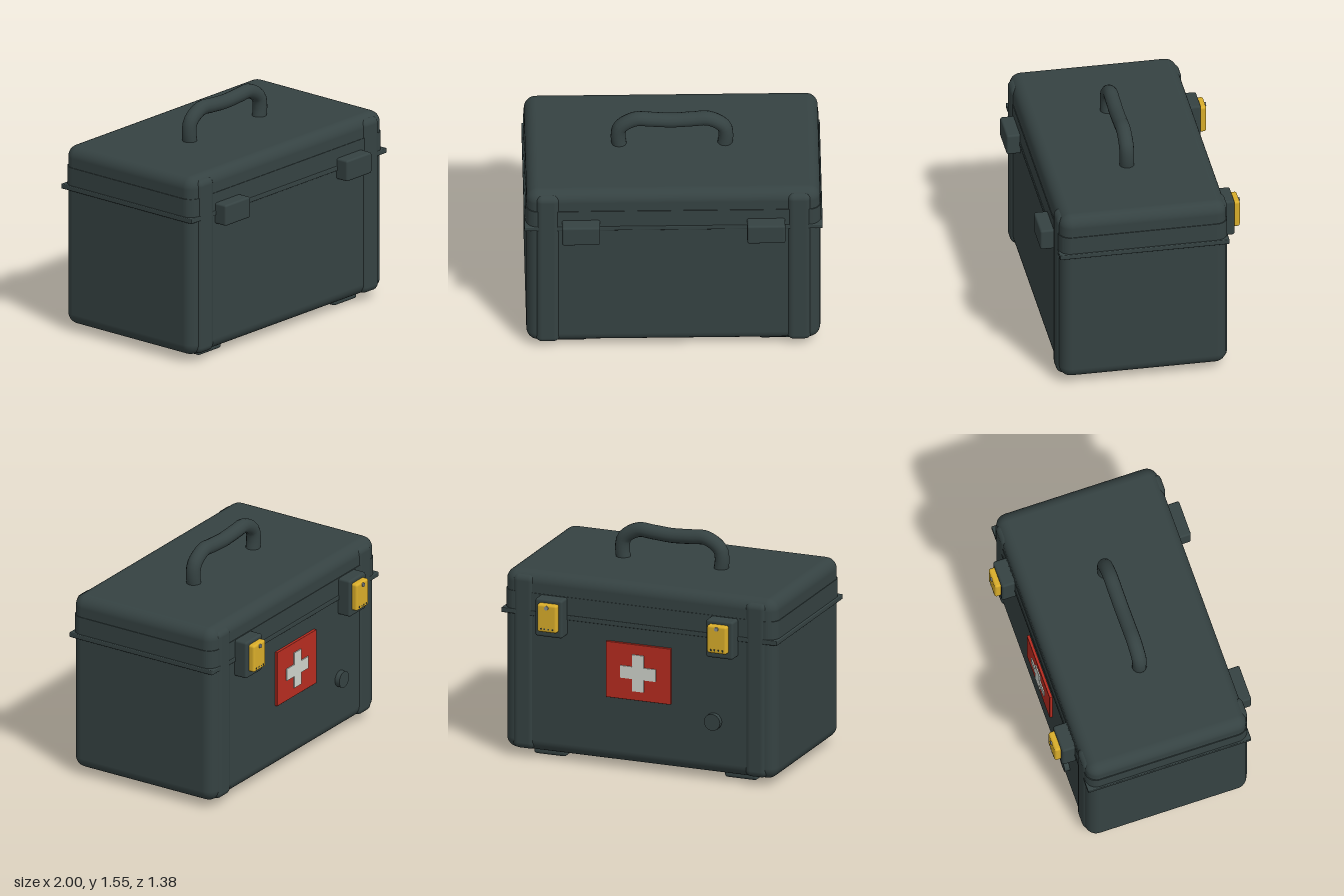
import * as THREE from 'three';
import { RoundedBoxGeometry } from 'three/addons/geometries/RoundedBoxGeometry.js';

const material = (name, color) => {
  const m = new THREE.MeshStandardMaterial({ color });
  m.name = name;
  return m;
};

export function createModel() {
  const shell = material('dark grey green plastic', 0x354242);
  const yellow = material('latch yellow', 0xd9ad2a);
  const red = material('badge red', 0xb82c20);
  const white = material('cross pale grey', 0xd0d4cc);
  const steel = material('screw steel', 0x8a8f92);
  const model = new THREE.Group();
  model.name = 'firstAidCase';

  const add = (name, geometry, mat) => {
    const mesh = new THREE.Mesh(geometry, mat);
    mesh.name = name;
    model.add(mesh);
    return mesh;
  };
  // Rounded box given by its limits on each axis
  const block = (name, [x0, x1], [y0, y1], [z0, z1], radius, mat = shell, segments = 3) => {
    const mesh = add(name, new RoundedBoxGeometry(x1 - x0, y1 - y0, z1 - z0, segments, radius), mat);
    mesh.position.set((x0 + x1) / 2, (y0 + y1) / 2, (z0 + z1) / 2);
    return mesh;
  };
  // Disc facing the back
  const disc = (name, radius, depth, x, y, z, mat) => {
    const mesh = add(name, new THREE.CylinderGeometry(radius, radius, depth, 20), mat);
    mesh.rotation.x = Math.PI / 2;
    mesh.position.set(x, y, z);
  };

  // Case shell
  block('caseBody', [-0.985, 0.985], [0.045, 1.305], [-0.545, 0.595], 0.08, shell, 4);

  // Raised lip round the bottom of the lid
  const w = 0.99, d = 0.574, r = 0.08;
  const outline = new THREE.Shape();
  outline.absarc(w - r, d - r, r, 0, Math.PI / 2);
  outline.absarc(r - w, d - r, r, Math.PI / 2, Math.PI);
  outline.absarc(r - w, r - d, r, Math.PI, Math.PI * 1.5);
  outline.absarc(w - r, r - d, r, Math.PI * 1.5, Math.PI * 2);
  const lip = add('lidLip', new THREE.ExtrudeGeometry(outline, { depth: 0.14, bevelEnabled: false, curveSegments: 5 }), shell);
  lip.rotation.x = -Math.PI / 2;
  lip.position.set(0, 1.02, 0.025);

  // Square seam flange between lid and base
  block('seamFlange', [-1, 1], [1.0, 1.034], [-0.553, 0.603], 0.006);

  for (const s of [-1, 1]) {
    const span = (a, b) => (s > 0 ? [a, b] : [-b, -a]);
    // Vertical reinforcing bands
    block('cornerBand', span(0.76, 0.925), [0.055, 1.28], [-0.555, 0.61], 0.045);

    // Hinges on the front
    block('hinge', span(0.493, 0.748), [0.94, 1.087], [0.58, 0.69], 0.014);

    // Latches on the back
    block('latchBase', span(0.522, 0.718), [0.892, 1.157], [-0.64, -0.53], 0.016);
    block('latchLever', span(0.545, 0.688), [0.937, 1.132], [-0.682, -0.62], 0.016, yellow);
    disc('latchScrew', 0.014, 0.012, s * 0.617, 1.11, -0.684, steel);
    for (let i = 0; i < 4; i++) {
      const x = s * 0.617 - 0.042 + i * 0.028;
      block('leverNotch', [x - 0.005, x + 0.005], [0.955, 0.966], [-0.684, -0.678], 0.001, shell, 1);
    }

    // Feet
    for (const z of [0.413, -0.352])
      block('foot', span(0.575, 0.81), [0, 0.08], [z - 0.093, z + 0.093], 0.02);
  }

  // Carrying handle
  const half = [[0.35, 1.27], [0.362, 1.37], [0.345, 1.44], [0.245, 1.502], [0.14, 1.498]];
  const path = [
    ...half.map(([x, y]) => new THREE.Vector3(-x, y, 0.03)),
    new THREE.Vector3(0, 1.49, 0.03),
    ...half.slice().reverse().map(([x, y]) => new THREE.Vector3(x, y, 0.03)),
  ];
  const curve = new THREE.CatmullRomCurve3(path, false, 'centripetal');
  add('handle', new THREE.TubeGeometry(curve, 36, 0.05, 14), shell);

  // Badge with cross
  block('badge', [-0.235, 0.235], [0.5, 0.892], [-0.564, -0.54], 0.003, red, 1);
  const cross = new THREE.Shape();
  const a = 0.128, b = 0.043;
  [[b, a], [-b, a], [-b, b], [-a, b], [-a, -b], [-b, -b], [-b, -a], [b, -a], [b, -b], [a, -b], [a, b], [b, b]]
    .forEach(([x, y], i) => (i ? cross.lineTo(x, y) : cross.moveTo(x, y)));
  add('cross', new THREE.ExtrudeGeometry(cross, { depth: 0.009, bevelEnabled: false }), white)
    .position.set(0, 0.693, -0.572);

  // Pressure valve
  disc('valve', 0.058, 0.05, -0.542, 0.418, -0.556, shell);

  return model;
}
